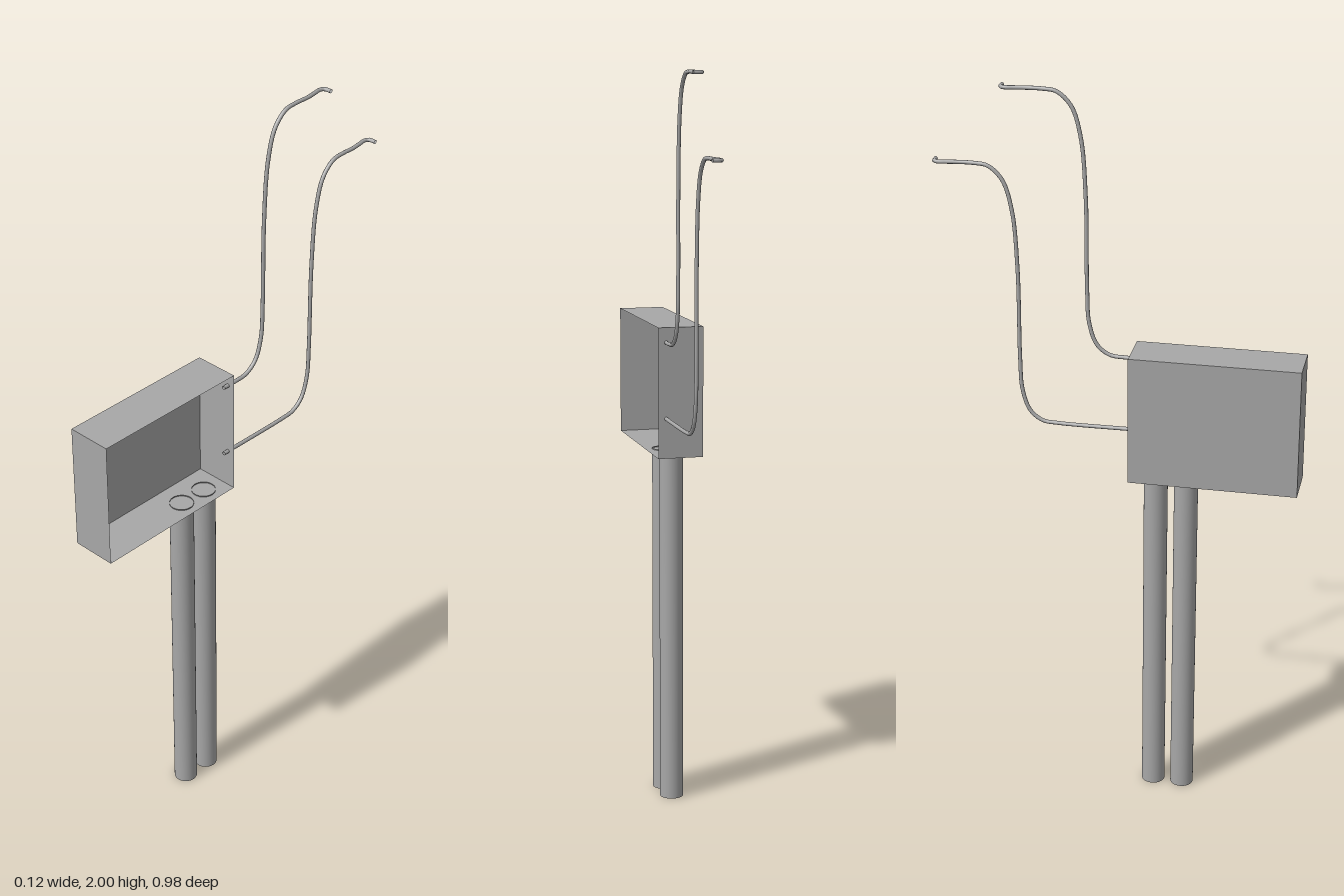
import * as THREE from 'three';

const gray = new THREE.MeshStandardMaterial({ color: 0xa7a7a7, side: THREE.DoubleSide });
gray.name = 'light gray';

function addMesh(parent, name, geometry, x = 0, y = 0, z = 0) {
  const mesh = new THREE.Mesh(geometry, gray);
  mesh.name = name;
  mesh.position.set(x, y, z);
  parent.add(mesh);
}

// Thin pipe: leaves the box backwards, rises, bends back again, ends in a small sideways hook
function pipeGeometry(startY, riseZ, topY, endZ) {
  const x = 0.04;
  const points = [
    [x, startY, 0.058], [x, startY, riseZ + 0.1], [x, startY + 0.004, riseZ + 0.06],
    [x, startY + 0.03, riseZ + 0.026], [x, startY + 0.09, riseZ + 0.005],
    [x, startY + 0.18, riseZ], [x, topY - 0.28, riseZ - 0.002],
    [x, topY - 0.12, riseZ - 0.014], [x, topY - 0.04, riseZ - 0.038],
    [x, topY - 0.005, riseZ - 0.075], [x, topY, riseZ - 0.11],
    [x, topY, endZ + 0.065], [0.036, topY, endZ + 0.035], [0.033, topY, endZ + 0.013],
    [0.038, topY, endZ + 0.002], [0.059, topY, endZ],
  ].map((p) => new THREE.Vector3(...p));
  const curve = new THREE.CatmullRomCurve3(points, false, 'centripetal');
  return new THREE.TubeGeometry(curve, 120, 0.0053, 10, false);
}

export function createModel() {
  const model = new THREE.Group();
  model.name = 'boxOnPosts';

  // Thin-walled box, open on its +x side (the first face of the box geometry is dropped)
  const box = new THREE.BoxGeometry(0.124, 0.354, 0.45);
  box.setIndex(Array.from(box.index.array).slice(6));
  box.clearGroups();
  addMesh(model, 'openBox', box, 0, 1.147, 0.267);

  // Two hollow round posts, open at both ends
  const postHeight = 0.973;
  const post = new THREE.CylinderGeometry(0.032, 0.032, postHeight, 32, 1, true);
  addMesh(model, 'frontPost', post, 0.011, postHeight / 2, 0.187);
  addMesh(model, 'backPost', post, 0.011, postHeight / 2, 0.105);

  // Two bent pipes
  addMesh(model, 'upperPipe', pipeGeometry(1.284, -0.086, 1.995, -0.306));
  addMesh(model, 'lowerPipe', pipeGeometry(1.078, -0.269, 1.79, -0.486));

  return model;
}
